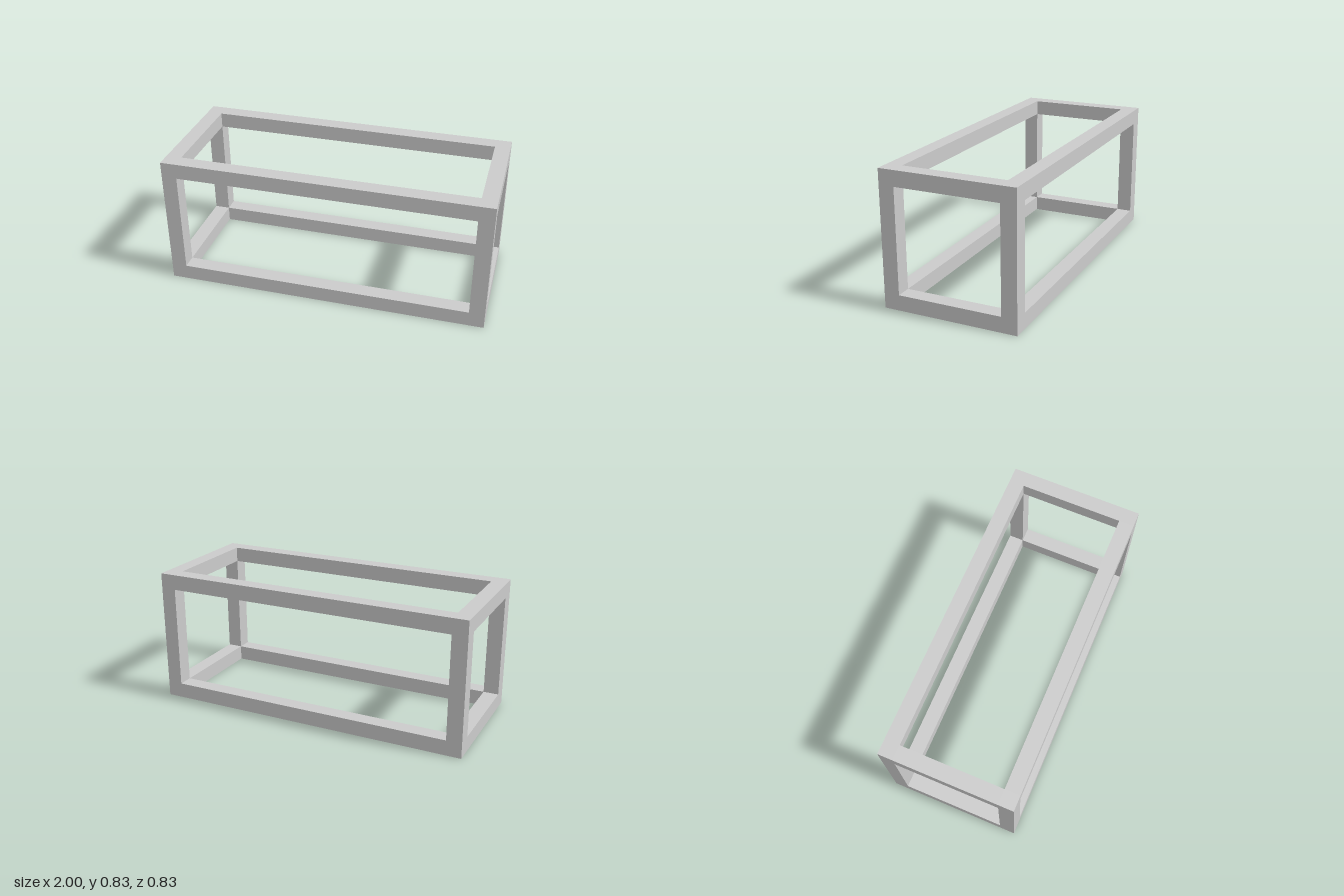
import * as THREE from 'three';

const LENGTH = 2, HEIGHT = 0.83, DEPTH = 0.83, BAR = 0.095;

export function createModel() {
  const group = new THREE.Group();
  group.name = 'openBoxFrame';
  const material = new THREE.MeshStandardMaterial({ color: 0xcccccc, flatShading: true });

  const addBar = (name, size, position) => {
    const bar = new THREE.Mesh(new THREE.BoxGeometry(...size), material);
    bar.name = name;
    bar.position.set(...position);
    group.add(bar);
  };

  // Centre lines of the outer bars
  const x = (LENGTH - BAR) / 2, y = (HEIGHT - BAR) / 2, z = (DEPTH - BAR) / 2;
  const mid = HEIGHT / 2;

  for (const a of [-1, 1]) {
    const side = a < 0 ? 'right' : 'left';
    const level = a < 0 ? 'bottom' : 'top';
    for (const b of [-1, 1]) {
      const end = b < 0 ? 'Back' : 'Front';
      // Full-height corner posts
      addBar(`${side}${end}Post`, [BAR, HEIGHT, BAR], [a * x, mid, b * z]);
      // Long rails between the posts
      addBar(`${level}${end}Rail`, [LENGTH - 2 * BAR, BAR, BAR], [0, mid + a * y, b * z]);
      // Short end rails between the posts
      addBar(`${level}${b < 0 ? 'Right' : 'Left'}EndRail`, [BAR, BAR, DEPTH - 2 * BAR], [b * x, mid + a * y, 0]);
    }
  }
  return group;
}
